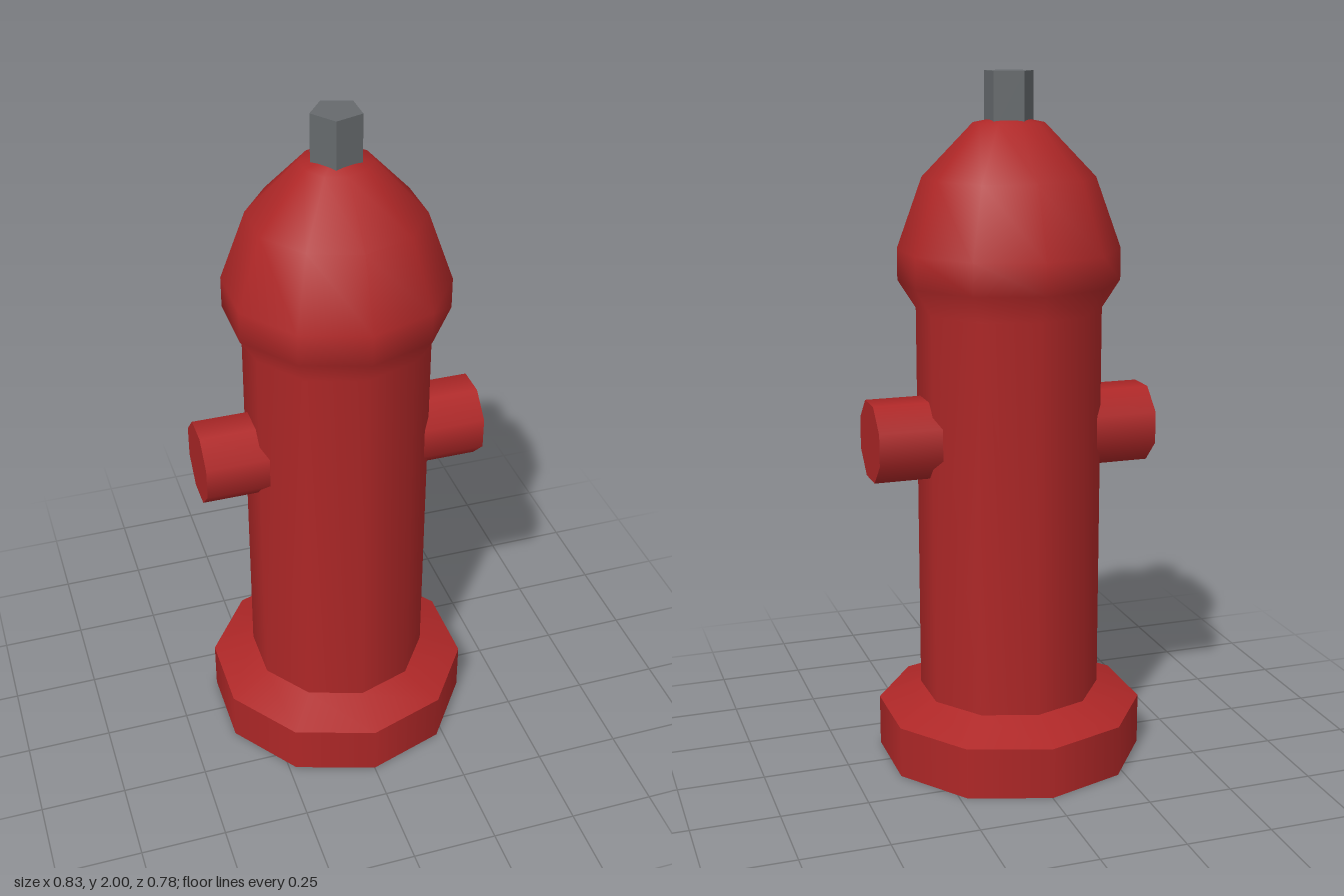
import * as THREE from 'three';

const red = new THREE.MeshStandardMaterial({ color: 0xae2727 });
red.name = 'hydrant red';
const grey = new THREE.MeshStandardMaterial({ color: 0x666a6d });
grey.name = 'steel grey';

// Ten-sided turned surface from [radius, height] pairs, bottom to top
const turned = (points) =>
  new THREE.LatheGeometry(points.map(([r, y]) => new THREE.Vector2(r, y)), 10);

export function createModel() {
  const model = new THREE.Group();
  model.name = 'fireHydrant';

  const add = (name, geometry, material, parent = model) => {
    const mesh = new THREE.Mesh(geometry, material);
    mesh.name = name;
    parent.add(mesh);
    return mesh;
  };

  // Base flange: separate surfaces keep its rims crisp
  const base = new THREE.Group();
  base.name = 'base';
  model.add(base);
  add('baseUnderside', turned([[0, 0], [0.39, 0]]), red, base);
  add('baseRim', turned([[0.39, 0], [0.39, 0.15]]), red, base);
  add('baseSlope', turned([[0.39, 0.15], [0.265, 0.2]]), red, base);

  // Barrel flowing smoothly into the domed bonnet
  add('barrelAndBonnet', turned([
    [0.265, 0.2], [0.265, 1.34], [0.316, 1.42], [0.316, 1.51],
    [0.244, 1.71], [0.1, 1.86], [0, 1.88],
  ]), red);

  // Octagonal side outlets with flats on top
  for (const side of [1, -1]) {
    const outlet = new THREE.CylinderGeometry(0.12, 0.12, 0.215, 8, 1, false, Math.PI / 8);
    outlet.rotateZ(-side * Math.PI / 2);
    const mesh = add(side > 0 ? 'leftOutlet' : 'rightOutlet', outlet, red);
    mesh.position.set(side * 0.3065, 0.98, 0);
  }

  // Five-sided operating nut with flat faces
  const nut = new THREE.CylinderGeometry(0.072, 0.072, 0.16, 5, 1, false, -Math.PI / 2).toNonIndexed();
  nut.computeVertexNormals();
  add('operatingNut', nut, grey).position.y = 1.92;

  return model;
}
